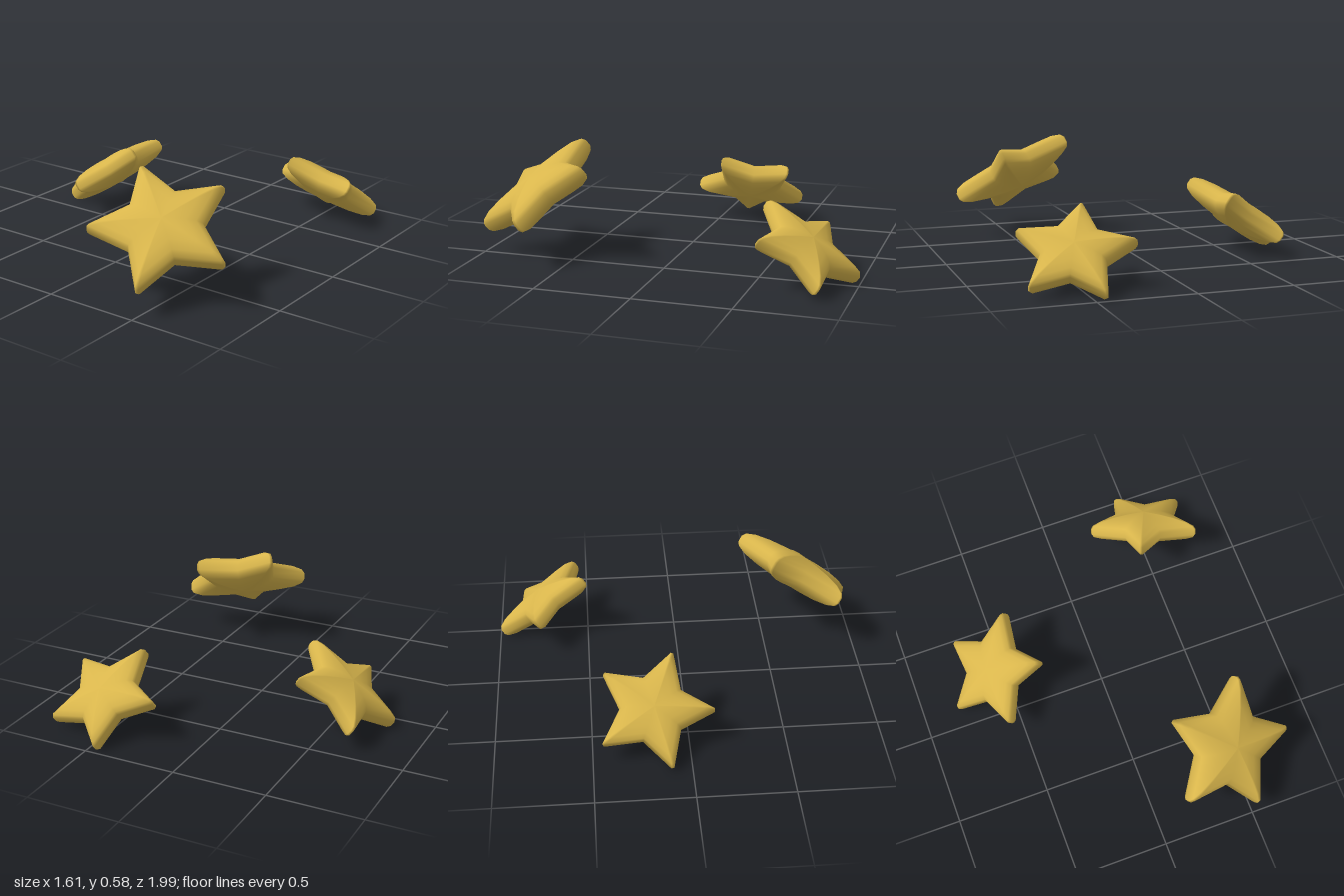
import * as THREE from 'three';

// Rings of the puffy star from rim to crown: [outline scale, half thickness]
const RINGS = [[1, 0.05], [0.96, 0.11], [0.82, 0.17], [0.58, 0.215], [0.3, 0.242], [0.04, 0.25]];

// Unit star outline with slightly blunt tips, tip 0 on +x
function starOutline(notch) {
  const pts = [];
  for (let k = 0; k < 5; k++) {
    const a = k * Math.PI * 0.4, b = a + Math.PI / 5;
    for (const d of [-0.022, 0.022]) pts.push([Math.cos(a + d), Math.sin(a + d)]);
    pts.push([Math.cos(b) * notch, Math.sin(b) * notch]);
  }
  return pts;
}

// Closed cushion-shaped star, lofted from the back crown to the front crown
function puffyStar() {
  const outline = starOutline(0.55), n = outline.length;
  const layers = [
    ...RINGS.map(([s, h]) => [s, -h]).reverse(),
    ...RINGS,
  ];
  const pos = [], index = [];
  for (const [s, h] of layers) for (const [x, y] of outline) pos.push(x * s, y * s, h);
  for (let l = 0; l < layers.length - 1; l++) {
    for (let i = 0; i < n; i++) {
      const j = (i + 1) % n;
      const a = l * n + i, b = l * n + j, c = a + n, d = b + n;
      index.push(a, b, d, a, d, c);
    }
  }
  const back = pos.length / 3, front = back + 1, last = (layers.length - 1) * n;
  pos.push(0, 0, -0.25, 0, 0, 0.25);
  for (let i = 0; i < n; i++) {
    const j = (i + 1) % n;
    index.push(back, j, i, front, last + i, last + j);
  }
  const geo = new THREE.BufferGeometry();
  geo.setAttribute('position', new THREE.Float32BufferAttribute(pos, 3));
  geo.setIndex(index);
  geo.computeVertexNormals();
  return geo;
}

// Fit a regular star through five tip positions listed in order
function placeByTips(mesh, tips) {
  const c = new THREE.Vector3(), u = new THREE.Vector3(), v = new THREE.Vector3();
  tips.forEach((t, k) => {
    const p = new THREE.Vector3(...t), a = k * Math.PI * 0.4;
    c.addScaledVector(p, 0.2);
    u.addScaledVector(p, Math.cos(a) * 0.4);
    v.addScaledVector(p, Math.sin(a) * 0.4);
  });
  const radius = (u.length() + v.length()) / 2;
  u.normalize();
  const w = new THREE.Vector3().crossVectors(u, v).normalize();
  v.crossVectors(w, u);
  mesh.quaternion.setFromRotationMatrix(new THREE.Matrix4().makeBasis(u, v, w));
  mesh.position.copy(c);
  mesh.scale.setScalar(radius);
}

export function createModel() {
  const group = new THREE.Group();
  const gold = new THREE.MeshStandardMaterial({ color: 0xd9b64c });
  const geo = puffyStar();
  const stars = {
    frontStar: [[0.2, 0.56, 0.53], [0.6, 0.49, 0.39], [0.79, 0.24, 0.67], [0.52, 0.14, 0.98], [0.14, 0.34, 0.89]],
    backStar: [[0.45, 0.02, -0.99], [0.77, 0.045, -0.86], [0.77, 0.26, -0.55], [0.42, 0.36, -0.51], [0.23, 0.22, -0.77]],
    rightStar: [[-0.71, 0.1, -0.45], [-0.4, 0.34, -0.42], [-0.32, 0.37, -0.07], [-0.57, 0.19, 0.13], [-0.79, 0.03, -0.1]],
  };
  for (const [name, tips] of Object.entries(stars)) {
    const star = new THREE.Mesh(geo, gold);
    star.name = name;
    placeByTips(star, tips);
    group.add(star);
  }
  return group;
}
